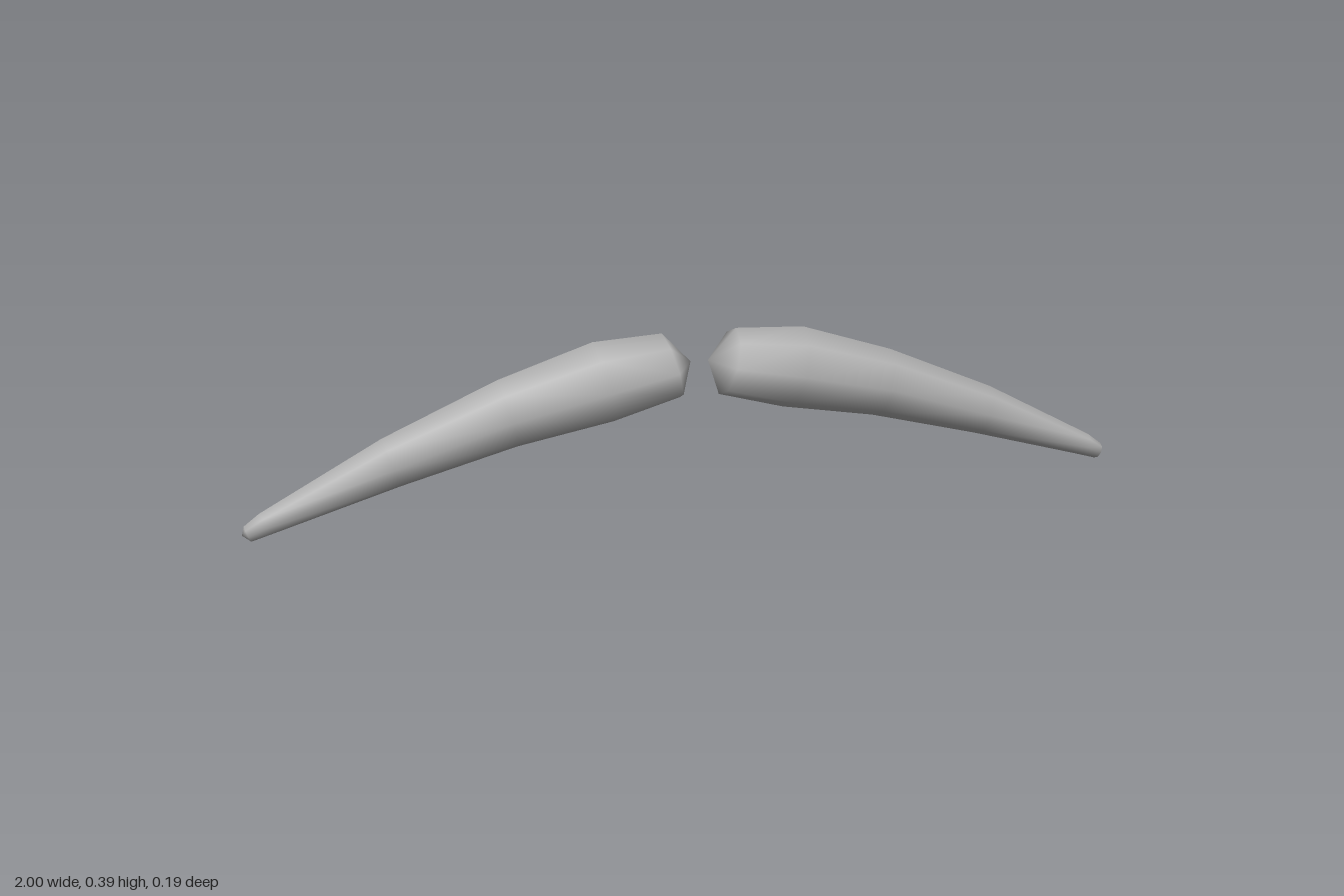
import * as THREE from 'three';
import { mergeVertices } from 'three/addons/utils/BufferGeometryUtils.js';

const SIDES = 8;

// Cross-sections from inner point to outer tip: [top x, top y, bottom x, bottom y, half depth]
const SECTIONS = [
  [0.02, 0.32, 0.02, 0.32, 0],
  [0.085, 0.388, 0.045, 0.24, 0.075],
  [0.24, 0.38, 0.195, 0.198, 0.097],
  [0.45, 0.312, 0.41, 0.16, 0.078],
  [0.70, 0.204, 0.665, 0.094, 0.056],
  [0.962, 0.063, 0.93, 0.018, 0.032],
  [0.995, 0.038, 0.98, 0.003, 0.021],
  [1.0, 0.018, 1.0, 0.018, 0],
];

// Lofts the elliptical sections; side is +1 (left) or -1 (right)
function hornGeometry(side) {
  const positions = [];
  const index = [];
  for (const [tx, ty, bx, by, depth] of SECTIONS) {
    for (let i = 0; i < SIDES; i++) {
      const a = (i / SIDES) * Math.PI * 2;
      const k = Math.cos(a) / 2;
      positions.push(
        side * ((tx + bx) / 2 + k * (tx - bx)),
        (ty + by) / 2 + k * (ty - by),
        Math.sin(a) * depth
      );
    }
  }
  const addFace = (a, b, c) => index.push(...(side > 0 ? [a, b, c] : [a, c, b]));
  const last = SECTIONS.length - 2;
  for (let s = 0; s <= last; s++) {
    for (let i = 0; i < SIDES; i++) {
      const a = s * SIDES + i;
      const b = s * SIDES + ((i + 1) % SIDES);
      if (s > 0) addFace(a, b, a + SIDES);
      if (s < last) addFace(b, b + SIDES, a + SIDES);
    }
  }
  const geometry = new THREE.BufferGeometry();
  geometry.setAttribute('position', new THREE.Float32BufferAttribute(positions, 3));
  geometry.setIndex(index);
  // Weld the end points so the shading stays smooth
  const welded = mergeVertices(geometry);
  welded.computeVertexNormals();
  return welded;
}

export function createModel() {
  const group = new THREE.Group();
  group.name = 'curvedPair';
  const grey = new THREE.MeshStandardMaterial({ color: 0xb0b0b0 });
  grey.name = 'grey';
  for (const [name, side] of [['leftHalf', 1], ['rightHalf', -1]]) {
    const mesh = new THREE.Mesh(hornGeometry(side), grey);
    mesh.name = name;
    group.add(mesh);
  }
  return group;
}
